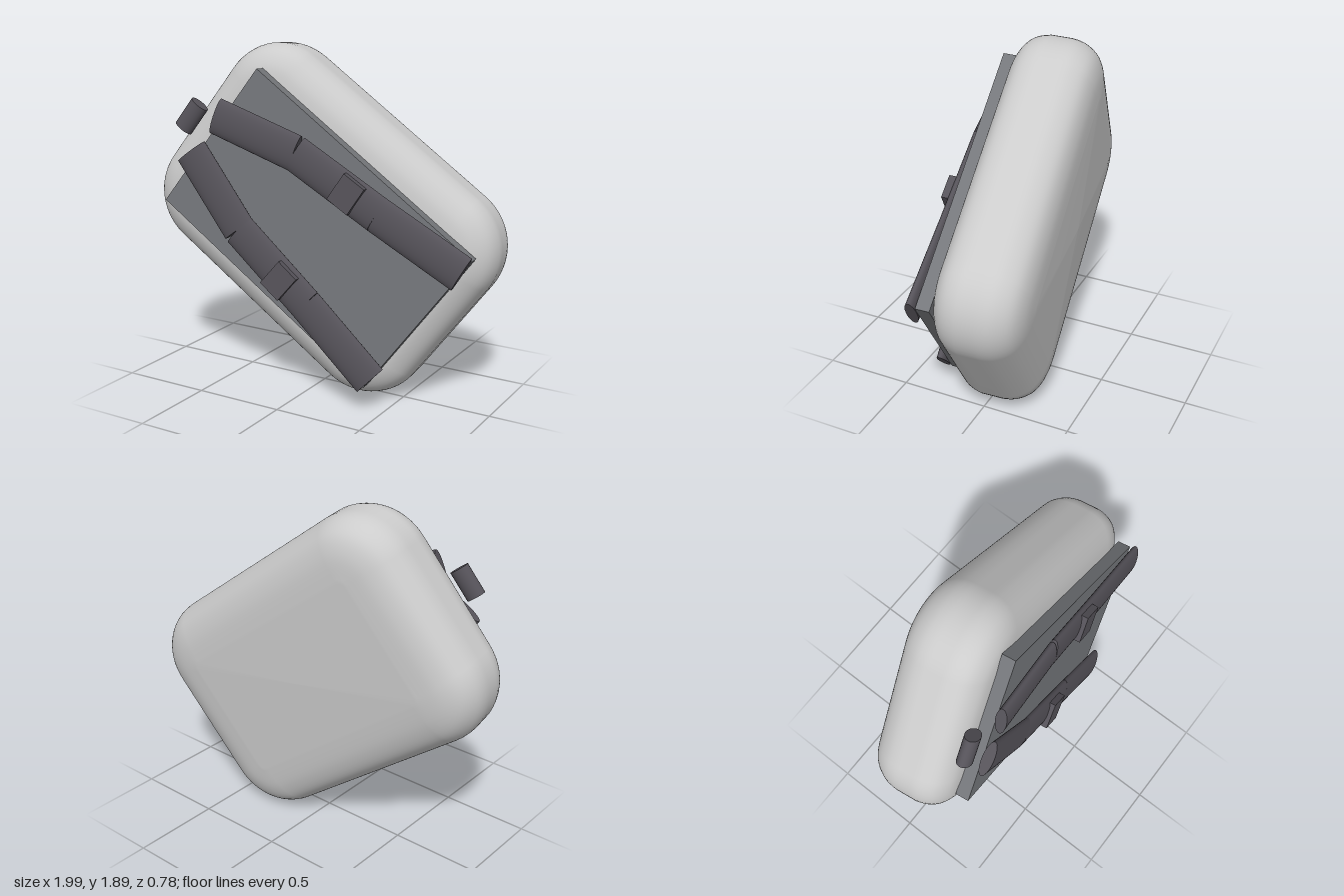
import * as THREE from 'three';

const grey = new THREE.MeshStandardMaterial({ color: 0xcccccc });
const panelGrey = new THREE.MeshStandardMaterial({ color: 0x75777b });
const strapGrey = new THREE.MeshStandardMaterial({ color: 0x56535a });

function mesh(name, geometry, material, x = 0, y = 0, z = 0) {
  const m = new THREE.Mesh(geometry, material);
  m.name = name;
  m.position.set(x, y, z);
  return m;
}

// Rounded-rectangle outline, inset by d, walked counter-clockwise
function outline(d, halfW, halfH, radius, steps) {
  const pts = [];
  [[1, 1], [-1, 1], [-1, -1], [1, -1]].forEach(([sx, sy], k) => {
    for (let i = 0; i <= steps; i++) {
      const a = (k + i / steps) * Math.PI / 2;
      const r = radius - d;
      pts.push([sx * (halfW - radius) + r * Math.cos(a), sy * (halfH - radius) + r * Math.sin(a)]);
    }
  });
  return pts;
}

// Soft padded body: outlines stacked along a pillow-shaped edge profile
function bodyGeometry() {
  const profile = new THREE.SplineCurve([
    [0.3, 0.19], [0.2, 0.185], [0.11, 0.165], [0.035, 0.11], [0, 0.02], [0, -0.1],
    [0.02, -0.18], [0.075, -0.25], [0.17, -0.29], [0.3, -0.305],
  ].map(([d, z]) => new THREE.Vector2(d, z))).getPoints(45);
  const rings = profile.map((p) =>
    outline(Math.max(p.x, 0), 0.655, 0.92, 0.335, 14).map(([x, y]) => [x, y, p.y]));
  const n = rings[0].length;
  // close front and back with a collapsed ring at the centre
  rings.unshift(Array(n).fill([0, 0, 0.192]));
  rings.push(Array(n).fill([0, 0, -0.318]));
  const index = [];
  for (let i = 0; i < rings.length - 1; i++) {
    for (let j = 0; j < n; j++) {
      const a = i * n + j, b = i * n + (j + 1) % n;
      const c = a + n, d = b + n;
      index.push(a, c, b, b, c, d);
    }
  }
  const g = new THREE.BufferGeometry();
  g.setAttribute('position', new THREE.Float32BufferAttribute(rings.flat(2), 3));
  g.setIndex(index);
  g.computeVertexNormals();
  return g;
}

// Flattened cylinder running between two points of the front panel
function strapSegment(name, [x0, y0], [x1, y1], z) {
  const length = Math.hypot(x1 - x0, y1 - y0);
  const g = new THREE.CylinderGeometry(1, 1, length, 24).scale(0.1, 1, 0.032);
  const m = mesh(name, g, strapGrey, (x0 + x1) / 2, (y0 + y1) / 2, z);
  m.rotation.z = Math.atan2(y1 - y0, x1 - x0) - Math.PI / 2;
  return m;
}

function strap(name, side) {
  const g = new THREE.Group();
  g.name = name;
  const path = [[0.125, 0.75], [0.272, 0.27], [0.325, -0.27], [0.39, -0.79]]
    .map(([x, y]) => [side * x, y]);
  ['Upper', 'Middle', 'Lower'].forEach((part, i) =>
    g.add(strapSegment('strap' + part, path[i], path[i + 1], 0.288)));
  const buckle = mesh('buckle', new THREE.BoxGeometry(0.165, 0.135, 0.05), strapGrey,
    side * 0.31, -0.085, 0.318);
  buckle.rotation.z = side * 0.06;
  g.add(buckle);
  return g;
}

export function createModel() {
  const pack = new THREE.Group();
  pack.name = 'backpack';

  pack.add(mesh('body', bodyGeometry(), grey));
  pack.add(mesh('backPanel', new THREE.BoxGeometry(0.93, 1.51, 0.075), panelGrey, 0, -0.03, 0.217));
  pack.add(strap('leftStrap', 1), strap('rightStrap', -1));

  // Carry handle at the top edge
  const handle = new THREE.CylinderGeometry(1, 1, 0.17, 24).scale(0.055, 1, 0.04).rotateZ(Math.PI / 2);
  pack.add(mesh('handle', handle, strapGrey, 0, 0.89, 0.22));

  // Lay the pack over on its lower corner, leaning slightly
  const up = new THREE.Vector3(-0.801, 0.596, 0.066).normalize();
  const out = new THREE.Vector3(0.6, 0.79, -0.126).cross(up).normalize();
  const right = new THREE.Vector3().crossVectors(up, out);
  pack.quaternion.setFromRotationMatrix(new THREE.Matrix4().makeBasis(right, up, out));
  pack.position.y = 0.94;

  const model = new THREE.Group();
  model.name = 'model';
  model.add(pack);
  return model;
}
